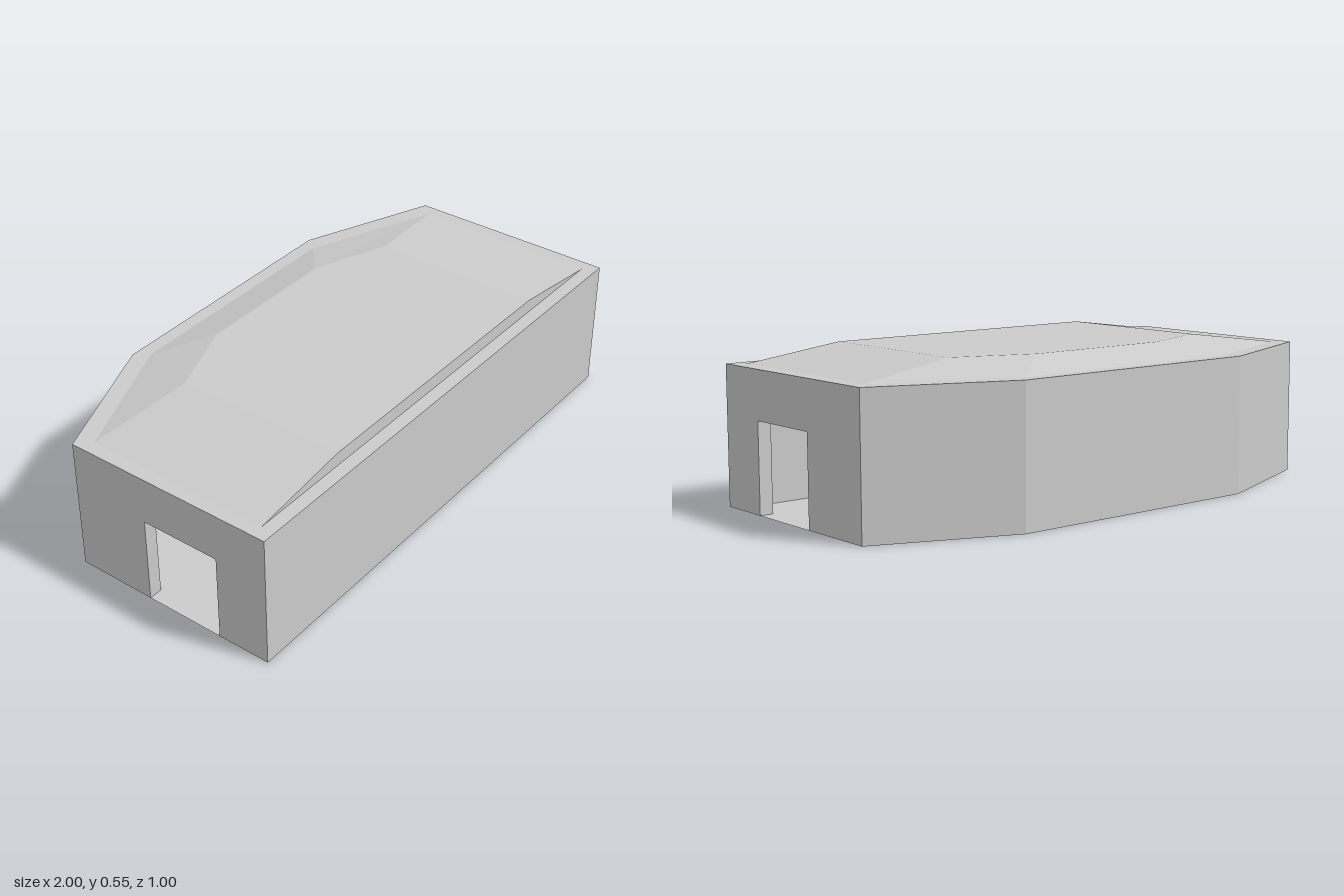
import * as THREE from 'three';

// Footprints as [x, z], counter-clockwise seen from above, starting front left
const OUTER = [[-1, 0.5], [1, 0.5], [1, -0.3], [0.5, -0.5], [-0.5, -0.5], [-1, -0.3]];
const INNER = [[-0.95, 0.45], [0.95, 0.45], [0.95, -0.25], [0.46, -0.45], [-0.46, -0.45], [-0.95, -0.25]];
const RIDGE = [[-0.57, 0.45], [0.57, 0.45], [0.57, -0.19], [0.28, -0.3], [-0.28, -0.3], [-0.57, -0.19]];
const WALL_H = 0.5, ROOF_H = 0.55;
const DOOR = { front: 0.3, back: 0, height: 0.325 };

const at = ([x, z], y) => [x, y, z];

// Mesh from flat convex polygons, each split into a fan
function polyMesh(name, polygons) {
  const pos = [];
  for (const p of polygons)
    for (let i = 1; i < p.length - 1; i++) pos.push(...p[0], ...p[i], ...p[i + 1]);
  const geo = new THREE.BufferGeometry();
  geo.setAttribute('position', new THREE.Float32BufferAttribute(pos, 3));
  geo.computeVertexNormals();
  const mat = new THREE.MeshStandardMaterial({ color: 0xcccccc, flatShading: true, side: THREE.DoubleSide });
  const mesh = new THREE.Mesh(geo, mat);
  mesh.name = name;
  return mesh;
}

// Upright rectangle from p to q
const panel = (p, q, y0, y1) => [at(p, y0), at(q, y0), at(q, y1), at(p, y1)];

// Upright faces around a footprint, leaving a doorway in both end walls
function wallFaces(ring) {
  return ring.flatMap((p, i) => {
    const q = ring[(i + 1) % ring.length];
    if (p[0] !== q[0]) return [panel(p, q, 0, WALL_H)];
    const [z0, z1] = q[1] < p[1] ? [DOOR.front, DOOR.back] : [DOOR.back, DOOR.front];
    const a = [p[0], z0], b = [p[0], z1];
    return [panel(p, a, 0, WALL_H), panel(a, b, DOOR.height, WALL_H), panel(b, q, 0, WALL_H)];
  });
}

// Band joining two rings
const band = (lower, y0, upper, y1) => lower.map((p, i) => {
  const j = (i + 1) % lower.length;
  return [at(p, y0), at(lower[j], y0), at(upper[j], y1), at(upper[i], y1)];
});

export function createModel() {
  const group = new THREE.Group();
  group.name = 'building';

  // Walls and the flat rim on top of them
  group.add(polyMesh('outerWalls', wallFaces(OUTER)));
  group.add(polyMesh('innerWalls', wallFaces(INNER).map(f => f.reverse())));
  group.add(polyMesh('wallRim', band(OUTER, WALL_H, INNER, WALL_H)));

  // Jambs and lintel of each doorway
  for (const side of [1, -1]) {
    const { front, back, height } = DOOR;
    const xa = side > 0 ? 0.95 : -1, xb = xa + 0.05;
    group.add(polyMesh(side > 0 ? 'leftDoorFrame' : 'rightDoorFrame', [
      panel([xb, front], [xa, front], 0, height),
      panel([xa, back], [xb, back], 0, height),
      [[xa, height, back], [xb, height, back], [xb, height, front], [xa, height, front]],
    ]));
  }

  // Low roof: sloping sides and back, upright front, flat top
  group.add(polyMesh('roof', [
    ...band(INNER, WALL_H, RIDGE, ROOF_H),
    RIDGE.map(p => at(p, ROOF_H)),
  ]));

  // Floor
  group.add(polyMesh('floor', [OUTER.map(p => at(p, 0)).reverse()]));
  return group;
}
